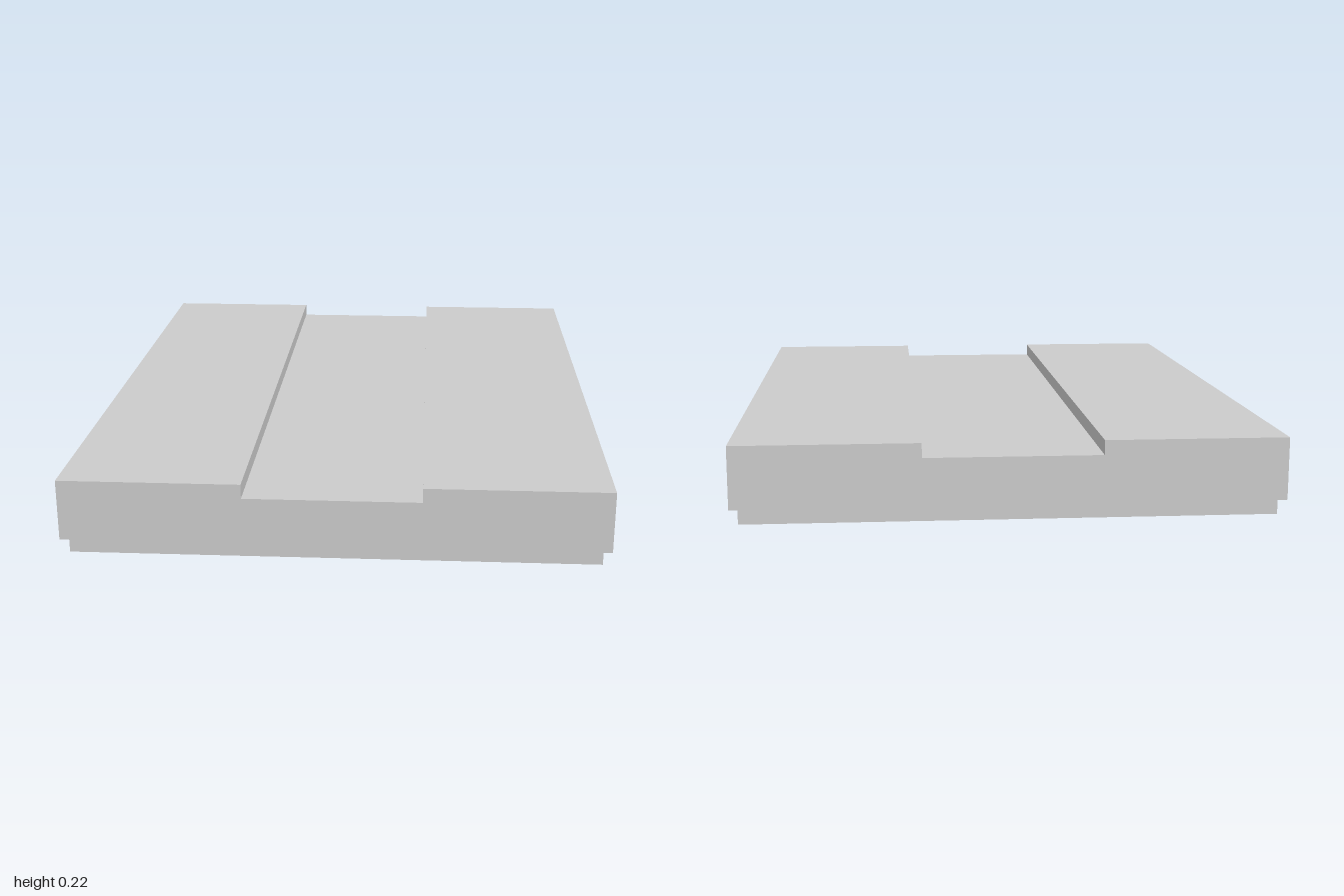
import * as THREE from 'three';

export function createModel() {
  const group = new THREE.Group();
  const material = new THREE.MeshStandardMaterial({ color: 0xcccccc, flatShading: true });

  // Slab with a shallow channel running front to back
  const profile = new THREE.Shape([
    [-0.78, 0.045], [0.78, 0.045], [0.78, 0.225], [0.25, 0.225],
    [0.25, 0.183], [-0.257, 0.183], [-0.257, 0.225], [-0.78, 0.225],
  ].map(([x, y]) => new THREE.Vector2(x, y)));
  const slabGeometry = new THREE.ExtrudeGeometry(profile, { depth: 2, bevelEnabled: false });
  slabGeometry.translate(0, 0, -1);
  const slab = new THREE.Mesh(slabGeometry, material);
  slab.name = 'channelledSlab';
  group.add(slab);

  // Slightly inset plinth beneath the slab
  const plinth = new THREE.Mesh(new THREE.BoxGeometry(1.514, 0.045, 1.966), material);
  plinth.position.y = 0.0225;
  plinth.name = 'insetBase';
  group.add(plinth);

  return group;
}
